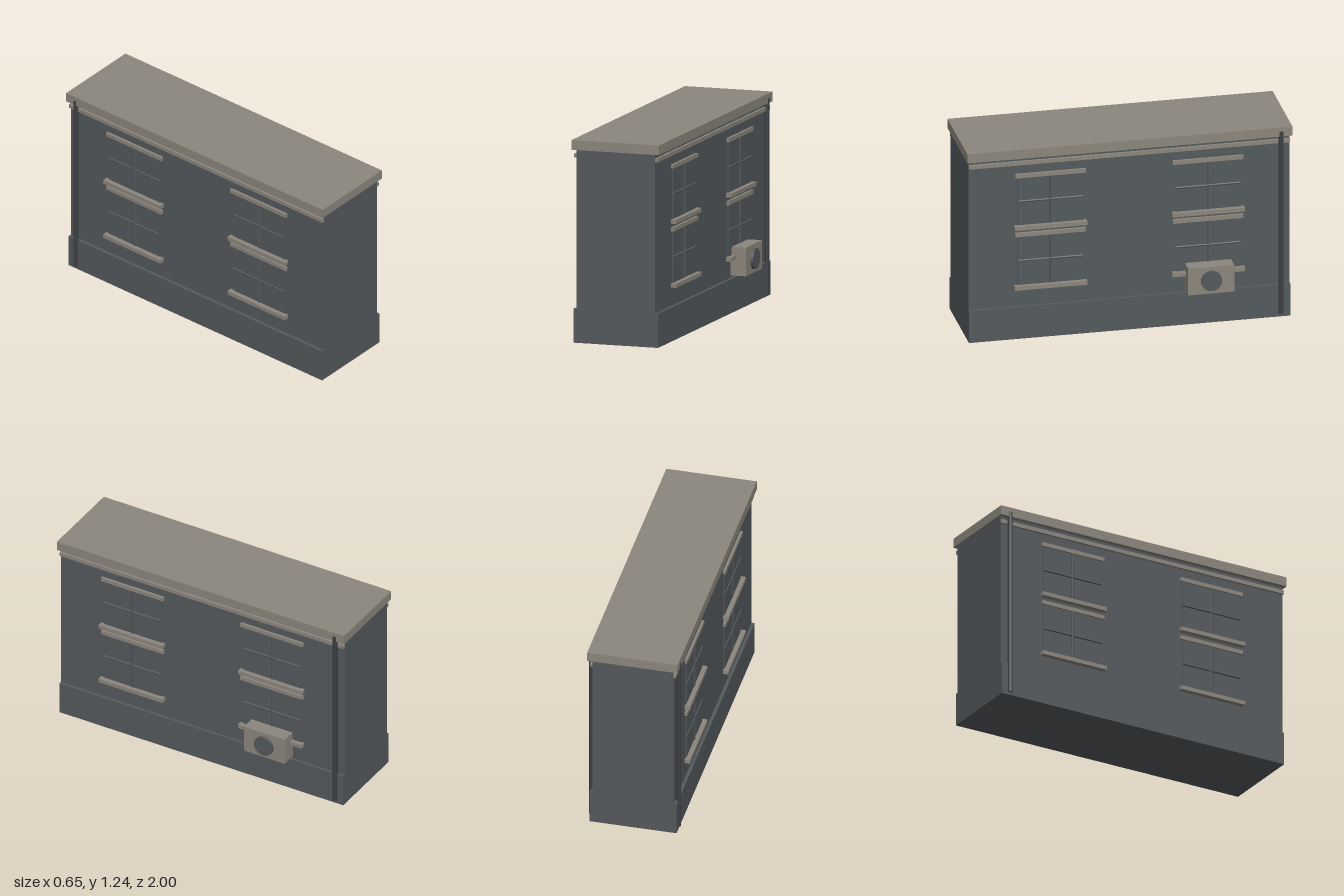
import * as THREE from 'three';

export function createModel() {
  const root = new THREE.Group();
  root.name = 'building';

  const mat = (name, color) => {
    const m = new THREE.MeshStandardMaterial({ color });
    m.name = name;
    return m;
  };
  const wall = mat('slateWall', 0x54595d);
  const trim = mat('stoneTrim', 0x8b867d);
  const pipe = mat('darkPipe', 0x3c3f43);

  const add = (parent, name, geometry, material, x, y, z) => {
    const mesh = new THREE.Mesh(geometry, material);
    mesh.name = name;
    mesh.position.set(x, y, z);
    parent.add(mesh);
    return mesh;
  };
  // Box given by its min and max on each axis
  const box = (parent, name, material, x0, x1, y0, y1, z0, z1) =>
    add(parent, name, new THREE.BoxGeometry(x1 - x0, y1 - y0, z1 - z0), material,
      (x0 + x1) / 2, (y0 + y1) / 2, (z0 + z1) / 2);
  // Flat-sided cylinder
  const rod = (radius, length, sides) =>
    new THREE.CylinderGeometry(radius, radius, length, sides).toNonIndexed();
  const faceted = (geometry) => {
    geometry.computeVertexNormals();
    return geometry;
  };

  // The block is symmetric about its own middle plane, offset from x = 0
  const block = new THREE.Group();
  block.name = 'block';
  block.position.x = -0.04;
  root.add(block);

  const HALF = 0.25; // half width of the wall
  box(block, 'walls', wall, -HALF, HALF, 0.205, 1.18, -0.988, 0.988);
  box(block, 'plinth', wall, -0.27, 0.27, 0, 0.208, -0.988, 0.988);
  box(block, 'roofSlab', trim, -0.28, 0.28, 1.178, 1.237, -1, 1);

  // One sash window: pane, crossed glazing bars, lintel and sill
  function addWindow(side, z, bottom, top) {
    const g = new THREE.Group();
    g.name = 'window';
    side.add(g);
    const mid = (bottom + top) / 2;
    box(g, 'pane', wall, HALF, HALF + 0.006, bottom, top, z - 0.2, z + 0.2);
    add(g, 'verticalBar', new THREE.CylinderGeometry(0.007, 0.007, top - bottom, 8), wall,
      HALF + 0.006, mid, z);
    add(g, 'crossBar', new THREE.CylinderGeometry(0.007, 0.007, 0.4, 8), wall,
      HALF + 0.006, mid, z).rotation.x = Math.PI / 2;
    box(g, 'lintel', trim, HALF, HALF + 0.016, top, top + 0.025, z - 0.217, z + 0.217);
    box(g, 'sill', trim, HALF, HALF + 0.034, bottom - 0.025, bottom, z - 0.223, z + 0.223);
  }

  // Both long facades are the same, turned about the vertical axis
  for (const s of [1, -1]) {
    const side = new THREE.Group();
    side.name = s > 0 ? 'leftFacade' : 'rightFacade';
    side.rotation.y = s > 0 ? 0 : Math.PI;
    block.add(side);
    box(side, 'cornice', trim, HALF, HALF + 0.016, 1.13, 1.154, -0.988, 0.988);
    for (const z of [-0.485, 0.485]) {
      addWindow(side, z, 0.736, 1.046);
      addWindow(side, z, 0.346, 0.662);
    }
    // Downpipes both stand near the back corner
    add(side, 'downpipe', faceted(rod(0.016, 1.19, 8)), pipe, 0.269, 0.615, -0.932 * s);
  }

  // Air conditioner on the left facade
  const unit = new THREE.Group();
  unit.name = 'airConditioner';
  root.add(unit);
  box(unit, 'casing', trim, 0.21, 0.308, 0.222, 0.396, -0.627, -0.343);
  add(unit, 'fan', faceted(rod(0.064, 0.02, 20)), wall, 0.315, 0.308, -0.485)
    .rotation.z = -Math.PI / 2;

  return root;
}
